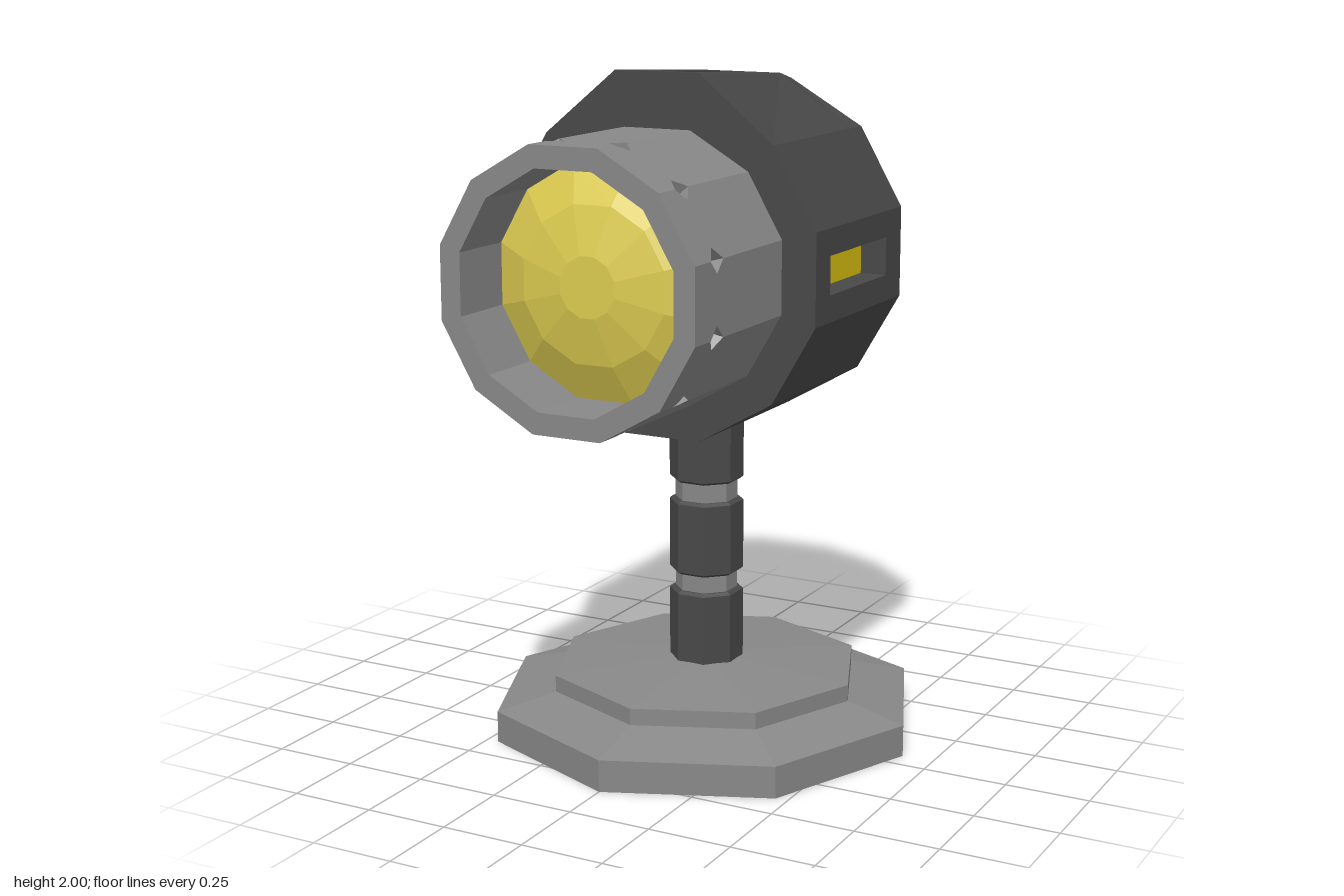
import * as THREE from 'three';

const N = 12;
const HX = -0.02, HY = 1.4475;            // axis of the lamp head
const COS = Math.cos(Math.PI / N);

const mat = (name, color, extra = {}) => {
  const m = new THREE.MeshStandardMaterial({ color, ...extra });
  m.name = name;
  return m;
};

// Faceted surface of revolution around y
function facetedLathe(profile, sides, turn = 0) {
  const pts = profile.map(([r, y]) => new THREE.Vector2(r, y));
  const g = new THREE.LatheGeometry(pts, sides).toNonIndexed();
  g.computeVertexNormals();
  return g.rotateY(turn);
}

// Twelve-sided turning around the head axis; radii measured to the flats, heights run along z
function headLathe(profile, turn = Math.PI / N) {
  return facetedLathe(profile.map(([r, z]) => [r / COS, z]), N, turn)
    .rotateX(Math.PI / 2).translate(HX, HY, 0);
}

const quad = (out, a, b, c, d) => out.push(a, b, c, a, c, d);

function toGeometry(points) {
  const g = new THREE.BufferGeometry().setFromPoints(points);
  g.computeVertexNormals();
  return g;
}

// Four-cornered panel with a rectangular recess; the recess floor goes to its own list
function slotPanel(out, floor, corners, u0, u1, v0, v1, depth) {
  const [a, b, c, d] = corners;
  const at = (u, v) => a.clone().lerp(b, u).lerp(d.clone().lerp(c, u), v);
  const rim = [at(u0, v0), at(u1, v0), at(u1, v1), at(u0, v1)];
  const normal = b.clone().sub(a).cross(d.clone().sub(a)).normalize();
  const low = rim.map(p => p.clone().addScaledVector(normal, -depth));
  for (let i = 0; i < 4; i++) {
    const j = (i + 1) % 4;
    quad(out, corners[i], corners[j], rim[j], rim[i]);
    quad(out, rim[i], rim[j], low[j], low[i]);
  }
  quad(floor, ...low);
}

// Head housing: rings from front to back with a raised top edge and three slots
function buildHousing() {
  // [z, distance to flats, height of top edge]
  const sections = [
    [0.2, 0.4975, 2.0], [-0.315, 0.4975, 1.965], [-0.392, 0.4975, null],
    [-0.575, 0.275, null], [-0.66, 0.0625, null],
  ];
  const rings = sections.map(([z, flat, top]) => Array.from({ length: N }, (_, k) => {
    const a = (k + 0.5) * 2 * Math.PI / N, r = flat / COS;
    const y = top && (k === 2 || k === 3) ? top : HY + r * Math.sin(a);
    return new THREE.Vector3(HX + r * Math.cos(a), y, z);
  }));
  const shell = [], floors = [];
  for (let i = 0; i < rings.length - 1; i++) {
    for (let k = 0; k < N; k++) {
      const n = (k + 1) % N, F = rings[i], B = rings[i + 1];
      const corners = [F[k], B[k], B[n], F[n]];
      if (i === 0 && k === 2) slotPanel(shell, floors, corners, 0.165, 0.98, 0.265, 0.735, 0.08);
      else if (i === 0 && (k === 5 || k === 11)) slotPanel(shell, floors, corners, 0.184, 0.942, 0.29, 0.71, 0.08);
      else quad(shell, ...corners);
    }
  }
  // Front and back caps
  const front = rings[0], back = rings[rings.length - 1];
  for (let k = 1; k < N - 1; k++) {
    shell.push(front[0], front[k], front[k + 1]);
    shell.push(back[0], back[k + 1], back[k]);
  }
  return { shell: toGeometry(shell), floors: toGeometry(floors) };
}

export function createModel() {
  const group = new THREE.Group();
  const grey = mat('grey metal', 0x888888);
  const dark = mat('dark metal', 0x484848);
  const lensYellow = mat('lens yellow', 0xdccb50);
  const slotYellow = mat('slot yellow', 0xd6be10);
  const green = mat('indicator green', 0x22cc10);

  const add = (name, geometry, material, parent = group) => {
    const m = new THREE.Mesh(geometry, material);
    m.name = name;
    parent.add(m);
    return m;
  };

  // Stepped octagonal base
  const base = add('base', facetedLathe([
    [0, 0], [0.655, 0], [0.655, 0.095], [0.475, 0.14], [0.475, 0.19], [0.1, 0.215], [0, 0.215],
  ], 8), grey);
  base.position.z = -0.065;

  // Octagonal column: three chamfered sleeves on a thinner core
  const column = new THREE.Group();
  column.name = 'column';
  column.position.z = -0.065;
  group.add(column);
  const R = 0.103 / Math.cos(Math.PI / 8);
  add('columnCore', facetedLathe([[R * 0.84, 0.2], [R * 0.84, 1.0]], 8, Math.PI / 8), grey, column);
  for (const [y0, y1] of [[0.2, 0.433], [0.485, 0.713], [0.77, 1.0]]) {
    add('columnSleeve', facetedLathe([
      [0, y0], [R * 0.9, y0], [R, y0 + 0.008], [R, y1 - 0.008], [R * 0.9, y1], [0, y1],
    ], 8, Math.PI / 8), dark, column);
  }

  // Head housing with coloured slot floors
  const housing = buildHousing();
  add('housing', housing.shell, dark);
  add('slotLights', housing.floors, slotYellow);

  // Barrel: twelve panels, notched where they meet to form diamond openings
  const flat = 0.393, half = flat * Math.tan(Math.PI / N);
  const z0 = 0.19, z1 = 0.71, zc = 0.587, d = 0.036;
  const outline = new THREE.Shape([
    [-half, z0], [half, z0], [half, zc - d], [half - d, zc], [half, zc + d], [half, z1],
    [-half, z1], [-half, zc + d], [-half + d, zc], [-half, zc - d],
  ].map(p => new THREE.Vector2(...p)));
  const panel = new THREE.ExtrudeGeometry(outline, { depth: 0.04, bevelEnabled: false })
    .translate(0, 0, flat - 0.04);
  const barrel = new THREE.Group();
  barrel.name = 'barrel';
  group.add(barrel);
  const axis = new THREE.Vector3(0, 0, 1);
  for (let k = 0; k < N; k++) {
    const a = k * 2 * Math.PI / N;
    const radial = new THREE.Vector3(Math.cos(a), Math.sin(a), 0);
    const place = new THREE.Matrix4()
      .makeBasis(axis.clone().cross(radial), axis, radial)
      .setPosition(HX, HY, 0);
    add('barrelPanel', panel.clone().applyMatrix4(place), grey, barrel);
  }
  // Barrel lip and bore
  add('barrelBore', headLathe([[flat, z1], [0.33, z1], [0.33, 0.48]]), grey, barrel);
  // Green band showing through the diamond openings
  add('indicatorBand', headLathe([[0.372, 0.53], [0.372, 0.64]], 0), green, barrel);

  // Faceted lens
  add('lens', headLathe([[0.332, 0.5], [0.22, 0.56], [0.085, 0.592], [0, 0.592]]), lensYellow);

  return group;
}
